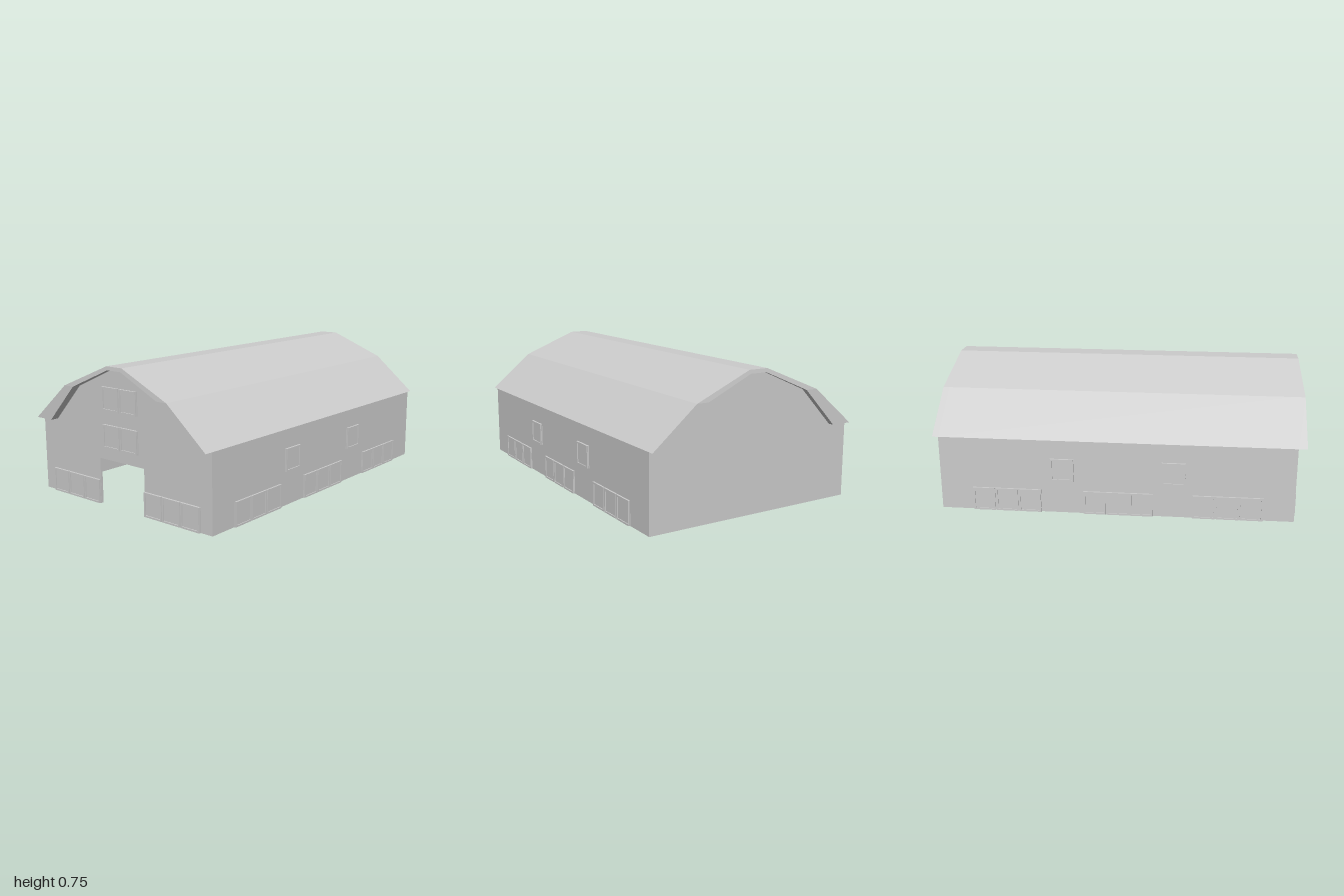
import * as THREE from 'three';

const OUTER = [[0.622, 0.415], [0.375, 0.622], [0.055, 0.755]];
const CEILING = [[0.61, 0.415], [0.367, 0.61], [0.053, 0.743]];
const TRIM = [[0.505, 0.415], [0.308, 0.622], [0.048, 0.735]];
const FRONT = 0.953, BACK = -0.967, WALL_X = 0.62, THICK = 0.012;

// mirrors half a profile into a full left-to-right arch
const arch = half => [...half, ...[...half].reverse().map(([x, y]) => [-x, y])];
const toShape = pts => new THREE.Shape(pts.map(([x, y]) => new THREE.Vector2(x, y)));

export function createModel() {
  const barn = new THREE.Group();
  barn.name = 'barn';
  const grey = new THREE.MeshStandardMaterial({ color: 0xcccccc, flatShading: true });

  function add(name, geometry, parent = barn) {
    const mesh = new THREE.Mesh(geometry, grey);
    mesh.name = name;
    parent.add(mesh);
    return mesh;
  }
  function extrude(shape, z0, z1) {
    const g = new THREE.ExtrudeGeometry(shape, { depth: z1 - z0, bevelEnabled: false });
    return g.translate(0, 0, z0);
  }
  function box(name, w, h, d, x, y, z, parent) {
    return add(name, new THREE.BoxGeometry(w, h, d).translate(x, y, z), parent);
  }

  // gable walls, the front one notched for the doorway
  const gable = arch([[WALL_X, 0.415], ...CEILING.slice(1)]);
  const doorway = [[-0.165, 0], [-0.165, 0.25], [0.165, 0.25], [0.165, 0]];
  add('frontWall', extrude(toShape([[WALL_X, 0], ...gable, [-WALL_X, 0], ...doorway]), FRONT - THICK, FRONT));
  add('backWall', extrude(toShape([[WALL_X, 0], ...gable, [-WALL_X, 0]]), BACK, BACK + THICK));

  // side walls
  for (const s of [1, -1]) {
    box(s > 0 ? 'leftWall' : 'rightWall', THICK, 0.415, FRONT - BACK - 2 * THICK,
      s * (WALL_X - THICK / 2), 0.2075, (FRONT + BACK) / 2);
  }

  // gambrel roof shell
  const band = inner => toShape([...arch(OUTER), ...arch(inner).reverse()]);
  add('roof', extrude(band(CEILING), BACK, FRONT));

  // deep overhanging ends, leaning inward towards the ridge
  function overhang(name, z0, z1) {
    const g = extrude(band(TRIM), z0, z1);
    const p = g.attributes.position;
    for (let i = 0; i < p.count; i++) {
      const z = p.getZ(i);
      if (Math.abs(z) > 0.99) p.setZ(i, z - Math.sign(z) * Math.max(0, p.getY(i) - 0.622) * 0.11);
    }
    g.computeVertexNormals();
    add(name, g);
  }
  overhang('frontOverhang', FRONT, 1);
  overhang('backOverhang', -1, BACK);

  // row of framed panels, centred on x, standing on y = 0 and facing +z
  function panelRow(name, count, width, height, depth) {
    const row = new THREE.Group();
    row.name = name;
    const pitch = width / count, rim = 0.009;
    for (let i = 0; i < count; i++) {
      const x = (i + 0.5) * pitch - width / 2;
      const w = pitch / 2 - 0.003;
      const frame = toShape([[x - w, 0], [x + w, 0], [x + w, height], [x - w, height]]);
      frame.holes.push(new THREE.Path([
        new THREE.Vector2(x - w + rim, rim), new THREE.Vector2(x - w + rim, height - rim),
        new THREE.Vector2(x + w - rim, height - rim), new THREE.Vector2(x + w - rim, rim),
      ]));
      add('frame', extrude(frame, -0.002, depth), row);
    }
    // recessed boards behind the frames
    box('boards', width, height, depth * 0.5, 0, height / 2, depth * 0.25, row);
    barn.add(row);
    return row;
  }

  // front loft windows
  for (const y of [0.315, 0.515]) panelRow('loftWindow', 2, 0.255, 0.125, 0.012).position.set(0, y, FRONT);

  // stall doors and windows on the front and both sides
  for (const s of [1, -1]) {
    panelRow('frontStallDoors', 3, 0.38, 0.13, 0.012).position.set(s * 0.356, 0, FRONT);
    for (const z of [0.6, 0.01, -0.6]) {
      const doors = panelRow('sideStallDoors', 3, 0.38, 0.13, 0.01);
      doors.position.set(s * WALL_X, 0, z);
      doors.rotation.y = s * Math.PI / 2;
    }
    for (const z of [0.308, -0.293]) {
      const win = panelRow('sideWindow', 1, 0.13, 0.125, 0.012);
      win.position.set(s * WALL_X, 0.187, z);
      win.rotation.y = s * Math.PI / 2;
    }
  }
  return barn;
}
